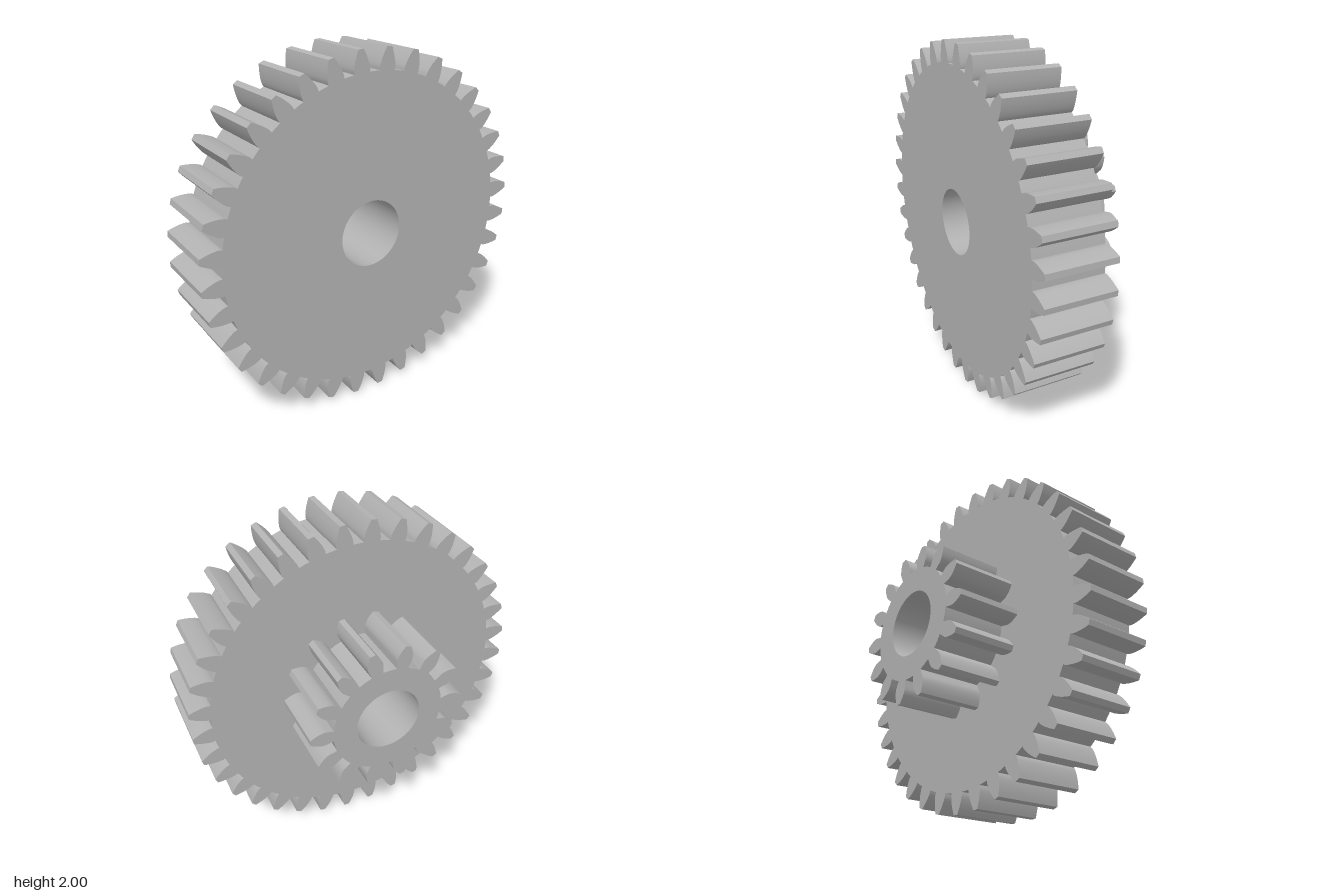
import * as THREE from 'three';
import { toCreasedNormals } from 'three/addons/utils/BufferGeometryUtils.js';

const BORE = 0.19;
const inv = (a) => Math.tan(a) - a; // involute function

// Half the angle a tooth covers at radius r
function toothHalfAngle(r, g) {
  const base = g.pitch * Math.cos(Math.PI / 9);
  const flank = Math.PI / (2 * g.teeth) + inv(Math.PI / 9) - g.slack / g.pitch;
  if (r >= base) return flank - inv(Math.acos(base / r));
  return flank - g.undercut * (base - r) / (base - g.root); // narrows towards the root
}

// Closed outline of a spur gear with a round bore
function gearShape(g) {
  const pts = [];
  const steps = 8;
  for (let t = 0; t < g.teeth; t++) {
    const mid = g.start + (t * 2 * Math.PI) / g.teeth;
    const add = (r, a) => pts.push(new THREE.Vector2(r * Math.cos(a), r * Math.sin(a)));
    const radius = (i) => g.root + ((g.tip - g.root) * i) / steps;
    for (let i = 0; i <= steps; i++) add(radius(i), mid - toothHalfAngle(radius(i), g));
    for (let i = steps; i >= 0; i--) add(radius(i), mid + toothHalfAngle(radius(i), g));
    add(g.root, mid + Math.PI / g.teeth); // middle of the gap
  }
  const shape = new THREE.Shape(pts);
  const hole = [];
  for (let i = 0; i < 64; i++) {
    const a = (-i * 2 * Math.PI) / 64;
    hole.push(new THREE.Vector2(BORE * Math.cos(a), BORE * Math.sin(a)));
  }
  shape.holes.push(new THREE.Path(hole));
  return shape;
}

function makeGear(name, g, zBack, zFront, material) {
  const geometry = new THREE.ExtrudeGeometry(gearShape(g), {
    depth: zFront - zBack,
    bevelEnabled: false,
  });
  const mesh = new THREE.Mesh(toCreasedNormals(geometry, 0.4), material);
  mesh.name = name;
  mesh.position.set(0, 1, zBack);
  return mesh;
}

export function createModel() {
  const steel = new THREE.MeshStandardMaterial({ color: 0xb2b2b2 });
  steel.name = 'grey steel';

  const group = new THREE.Group();
  group.name = 'compoundGear';

  // Large wheel at the front
  group.add(makeGear('largeWheel', {
    teeth: 36, tip: 1.0023, pitch: 0.95, root: 0.884,
    start: Math.PI / 36, slack: 0.004, undercut: 0.002,
  }, -0.014, 0.393, steel));

  // Small pinion behind it
  group.add(makeGear('smallPinion', {
    teeth: 14, tip: 0.463, pitch: 0.406, root: 0.33,
    start: 0, slack: 0.003, undercut: 0.015,
  }, -0.393, -0.014, steel));

  return group;
}
